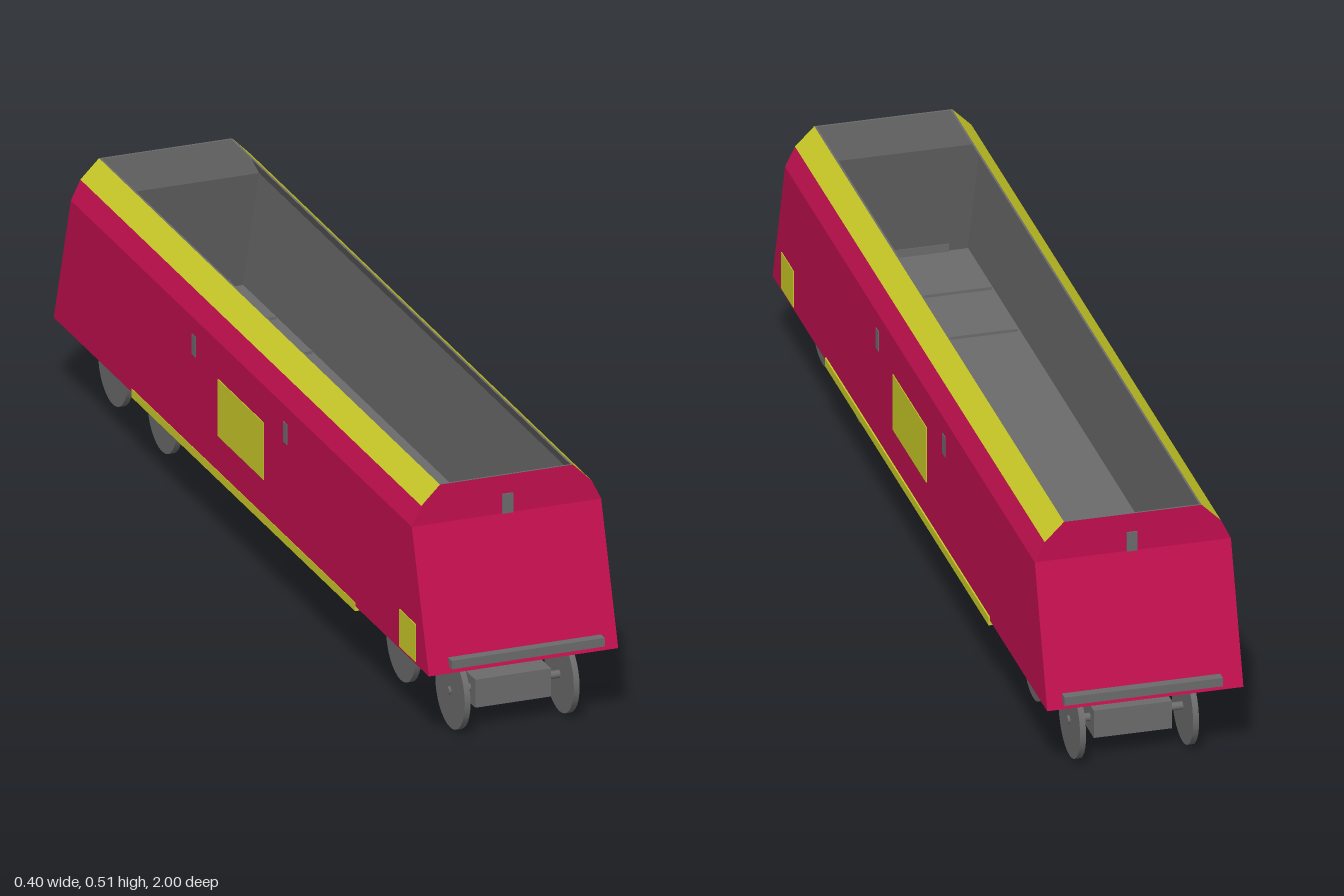
import * as THREE from 'three';

const makeMat = (name, color) => {
  const m = new THREE.MeshStandardMaterial({ color });
  m.name = name;
  return m;
};

export function createModel() {
  const red = makeMat('crimson paint', 0xc00f4e);
  const yellow = makeMat('yellow paint', 0xcaca28);
  const grey = makeMat('grey metal', 0x6b6b6b);
  const wagon = new THREE.Group();
  wagon.name = 'hopperWagon';

  const add = (name, geo, mat, x = 0, y = 0, z = 0, parent = wagon) => {
    const mesh = new THREE.Mesh(geo, mat);
    mesh.name = name;
    mesh.position.set(x, y, z);
    parent.add(mesh);
  };
  // box given by its limits on each axis
  const box = (name, mat, [x0, x1], [y0, y1], [z0, z1], parent) =>
    add(name, new THREE.BoxGeometry(x1 - x0, y1 - y0, z1 - z0), mat,
      (x0 + x1) / 2, (y0 + y1) / 2, (z0 + z1) / 2, parent);

  // Body shell: rings [halfWidth, y, halfLength] run up the outside, over the rim and down the inside
  const t = 0.004;
  const outer = [[0.198, 0.155, 0.99], [0.198, 0.435, 0.9], [0.178, 0.476, 0.9], [0.139, 0.515, 0.9]];
  const inner = outer.map(([x, y, z]) => [x - t, y, z - t]).reverse();
  const rings = [...outer, ...inner];
  const corners = ([x, y, z]) => [[x, y, z], [x, y, -z], [-x, y, -z], [-x, y, z]];
  const faces = { red: [], yellow: [], grey: [] };
  for (let i = 0; i < rings.length - 1; i++) {
    const a = corners(rings[i]), b = corners(rings[i + 1]);
    for (let k = 0; k < 4; k++) {
      const n = (k + 1) % 4;
      const isSide = k % 2 === 0;
      const key = i >= 3 ? 'grey' : i === 2 && isSide ? 'yellow' : 'red';
      faces[key].push(...a[k], ...a[n], ...b[n], ...a[k], ...b[n], ...b[k]);
    }
  }
  const shell = (name, points, mat) => {
    const geo = new THREE.BufferGeometry();
    geo.setAttribute('position', new THREE.Float32BufferAttribute(points, 3));
    geo.computeVertexNormals();
    add(name, geo, mat, -0.001);
  };
  shell('bodyShell', faces.red, red);
  shell('topStripes', faces.yellow, yellow);
  shell('bodyLining', faces.grey, grey);

  // Floor with cross ribs, and a frame below it
  box('floor', grey, [-0.195, 0.193], [0.161, 0.168], [-0.98, 0.98]);
  for (const s of [-1, 1]) {
    for (const z of [0.61, 0.8]) {
      box('floorRib', grey, [-0.19, 0.188], [0.166, 0.174], [s * z - 0.008, s * z + 0.008]);
    }
    box('sideSill', grey, [s * 0.18 - 0.008, s * 0.18 + 0.008], [0.156, 0.163], [-0.97, 0.97]);
    box('endSill', grey, [-0.18, 0.18], [0.156, 0.163], [s * 0.96 - 0.008, s * 0.96 + 0.008]);
  }

  // Discharge plate and chute
  box('chutePlate', yellow, [-0.2, 0.2], [0.145, 0.163], [-0.578, 0.603]);
  const chute = new THREE.Shape([[-0.16, 0.146], [-0.08, 0.025], [0.082, 0.025], [0.162, 0.146]]
    .map(([x, y]) => new THREE.Vector2(x, y)));
  add('chute', new THREE.ExtrudeGeometry(chute, { depth: 1.04, bevelEnabled: false }), red, 0, 0, -0.515);

  // Crossbars and lamp brackets on both ends
  for (const s of [-1, 1]) {
    box('endBar', grey, [-0.155, 0.165], [0.167, 0.185], [s * 0.9875 - 0.0125, s * 0.9875 + 0.0125]);
    box('lampBracket', grey, [-0.01, 0.012], [0.435, 0.476], [s * 0.9 - 0.003, s * 0.9 + 0.003]);
  }

  // Painted panels and small brackets on both sides
  for (const x of [0.1965, -0.1985]) {
    const span = [x - 0.002, x + 0.002];
    box('sidePanel', yellow, span, [0.237, 0.357], [-0.122, 0.12]);
    box('cornerPanel', yellow, span, [0.16, 0.239], [0.837, 0.923]);
    for (const z of [0.233, -0.248]) {
      box('sideBracket', grey, span, [0.357, 0.4], [z - 0.01, z + 0.01]);
    }
  }

  // Bogies: frame, pivot, two axles and four wheels each
  const wheelGeo = new THREE.CylinderGeometry(0.078, 0.078, 0.012, 32).rotateZ(Math.PI / 2);
  const axleGeo = new THREE.CylinderGeometry(0.008, 0.008, 0.25, 16).rotateZ(Math.PI / 2);
  const pivotGeo = new THREE.CylinderGeometry(0.045, 0.045, 0.06, 24);
  for (const z of [0.765, -0.755]) {
    const bogie = new THREE.Group();
    bogie.name = z > 0 ? 'frontBogie' : 'rearBogie';
    bogie.position.set(0.003, 0, z);
    wagon.add(bogie);
    box('bogieFrame', grey, [-0.079, 0.079], [0.046, 0.105], [-0.16, 0.16], bogie);
    add('pivot', pivotGeo, grey, 0.004, 0.133, 0, bogie);
    for (const dz of [-0.13, 0.13]) {
      add('axle', axleGeo, grey, 0, 0.078, dz, bogie);
      for (const s of [-1, 1]) add('wheel', wheelGeo, grey, s * 0.114, 0.078, dz, bogie);
    }
  }
  return wagon;
}
